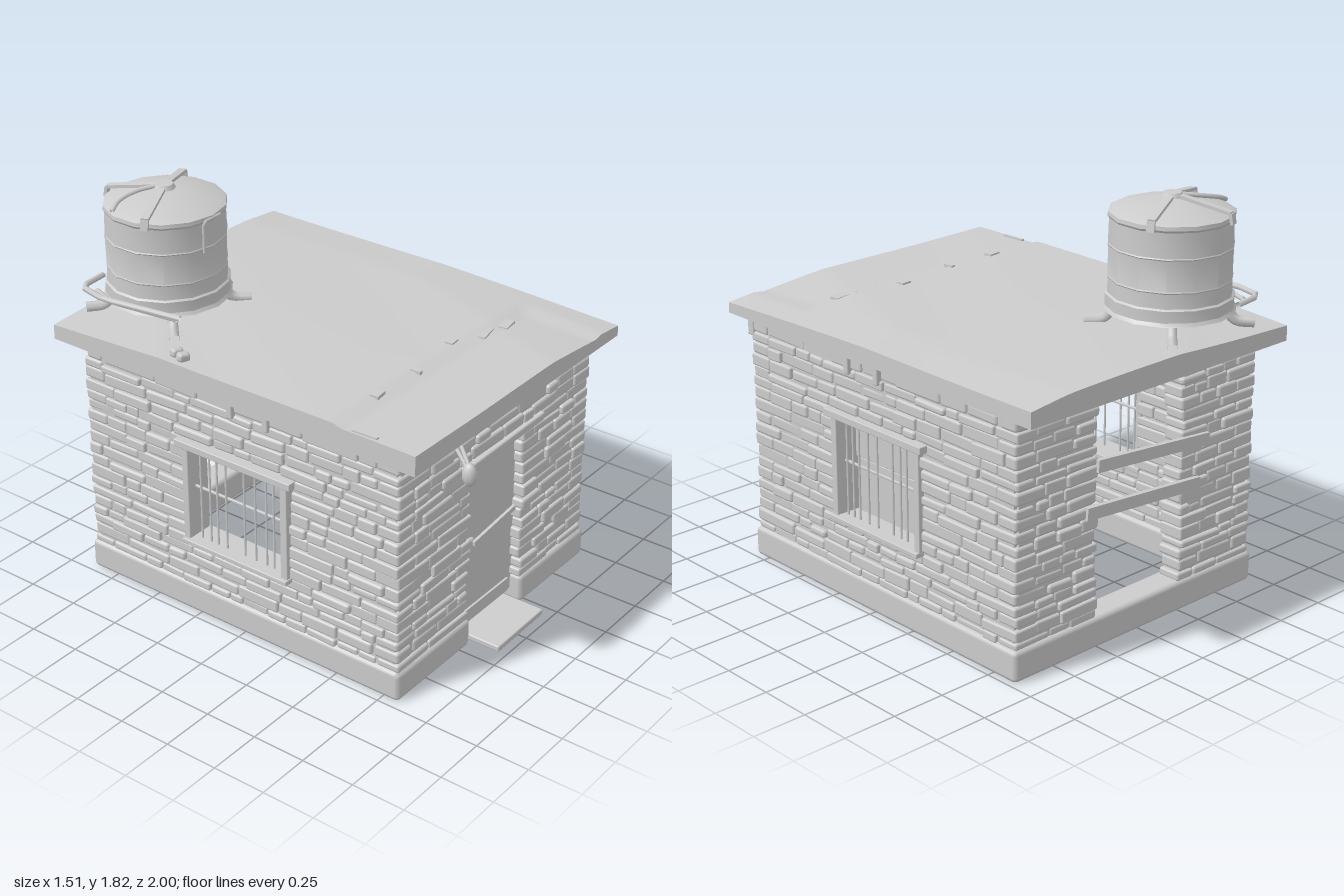
import * as THREE from 'three';
import { mergeGeometries, toCreasedNormals } from 'three/addons/utils/BufferGeometryUtils.js';
import { RoundedBoxGeometry } from 'three/addons/geometries/RoundedBoxGeometry.js';

const grey = new THREE.MeshStandardMaterial({ color: 0xcccccc, side: THREE.DoubleSide });
let seed = 7;
const rnd = (a = 0, b = 1) => {
  seed = (seed * 16807) % 2147483647;
  return a + (b - a) * (seed / 2147483647);
};
const V = (p) => new THREE.Vector3(...p);

function add(parent, name, geo, pos = [0, 0, 0], rot = [0, 0, 0]) {
  const m = new THREE.Mesh(geo, grey);
  m.name = name;
  m.position.set(...pos);
  m.rotation.set(...rot);
  parent.add(m);
  return m;
}
// Box given by its lower and upper corners, with softened edges when r > 0
function block(parent, name, a, b, r = 0, rot) {
  const s = a.map((v, i) => b[i] - v);
  const geo = r ? new RoundedBoxGeometry(...s, 1, r) : new THREE.BoxGeometry(...s);
  return add(parent, name, geo, a.map((v, i) => (v + b[i]) / 2), rot);
}
// Straight or bent pipe through points
function pipe(parent, name, pts, r, sides = 6, smooth = false) {
  const path = new THREE.CurvePath();
  if (!smooth) for (let i = 1; i < pts.length; i++) path.add(new THREE.LineCurve3(V(pts[i - 1]), V(pts[i])));
  const curve = smooth ? new THREE.CatmullRomCurve3(pts.map(V)) : path;
  return add(parent, name, new THREE.TubeGeometry(curve, smooth ? 12 : (pts.length - 1) * 4, r, sides));
}
// Flat bar between two points, w wide and h high
function beam(parent, name, p, q, w, h) {
  const a = V(p), b = V(q);
  const m = add(parent, name, new THREE.BoxGeometry(w, h, a.distanceTo(b)));
  m.position.copy(a).lerp(b, 0.5);
  m.quaternion.setFromRotationMatrix(new THREE.Matrix4().lookAt(b, a, new THREE.Vector3(0, 1, 0)));
  return m;
}

// Course heights shared by all four walls, so the corners interlock
const courses = [];
for (let y = 0.135; y < 1.07;) {
  let h = rnd(0.04, 0.064);
  if (y + h > 1.04) h = 1.08 - y;
  courses.push([y, y + h]);
  y += h;
}
courses.push([1.08, 1.15]);

// Wall along local x from u0 to u1 with one opening; odd courses stop short of the corners
function wall(parent, name, u0, u1, hole, parity, T = 0.115) {
  const g = new THREE.Group();
  g.name = name;
  parent.add(g);
  const [h0, h1, y0, y1] = hole;
  // mortar core around the opening
  const d = 0.045, i = 0.025;
  block(g, 'mortar', [u0 + i, 0.1, -d], [h0 - 0.015, 1.16, d]);
  block(g, 'mortar', [h1 + 0.015, 0.1, -d], [u1 - i, 1.16, d]);
  block(g, 'mortar', [h0 - 0.015, y1 + 0.01, -d], [h1 + 0.015, 1.16, d]);
  if (y0 > 0.15) block(g, 'mortar', [h0 - 0.015, 0.1, -d], [h1 + 0.015, y0 - 0.01, d]);
  // stones of uneven length, height and tilt
  const stones = [];
  courses.forEach(([a, b], row) => {
    const top = row === courses.length - 1;
    const inset = row % 2 === parity ? 0 : T;
    const mid = (a + b) / 2;
    const edge = () => rnd(-0.012, 0.008);
    const runs = mid > y0 && mid < y1
      ? [[u0 + inset, h0 - edge()], [h1 + edge(), u1 - inset]]
      : [[u0 + inset, u1 - inset]];
    for (const [s, e] of runs) {
      let u = s;
      while (u < e - 0.01) {
        let w = top ? rnd(0.15, 0.3) : rnd(0.07, 0.24);
        if (e - u - w < 0.07) w = e - u;
        const h = (b - a) * (rnd() < 0.3 ? rnd(0.72, 0.9) : rnd(0.92, 1.02));
        const depth = T + (top ? rnd(-0.03, 0.01) : rnd(-0.015, 0.012));
        const geo = new RoundedBoxGeometry(w - rnd(0.001, 0.006), h, depth, 1, rnd(0.007, 0.014));
        geo.rotateZ(rnd(-0.025, 0.025));
        geo.rotateY(rnd(-0.02, 0.02));
        geo.translate(u + w / 2, mid - (b - a - h) / 2, rnd(-0.004, 0.004));
        stones.push(geo);
        u += w;
      }
    }
  });
  add(g, 'stones', mergeGeometries(stones));
  return g;
}

// Barred window on a side wall; s is the side sign
function barredWindow(parent, s) {
  const g = new THREE.Group();
  g.name = s > 0 ? 'leftWindow' : 'rightWindow';
  parent.add(g);
  const bar = (n, x0, x1, y0, y1, z0, z1) =>
    block(g, n, [Math.min(s * x0, s * x1), y0, z0], [Math.max(s * x0, s * x1), y1, z1], 0.004);
  bar('windowLintel', 0.59, 0.747, 0.84, 0.874, -0.34, 0.29);
  bar('windowSill', 0.59, 0.747, 0.365, 0.388, -0.31, 0.265);
  bar('windowJamb', 0.6, 0.73, 0.385, 0.845, -0.31, -0.278);
  bar('windowJamb', 0.6, 0.73, 0.385, 0.845, 0.225, 0.26);
  bar('crossBar', 0.672, 0.684, 0.625, 0.638, -0.29, 0.24);
  for (const z of [-0.24, -0.19, -0.15, -0.1, 0, 0.06, 0.12, 0.16, 0.2])
    pipe(g, 'windowBar', [[s * 0.69, 0.38, z], [s * 0.69, 0.85, z]], 0.005);
  if (s > 0) {
    bar('shutterBoard', 0.6, 0.62, 0.385, 0.635, -0.258, 0.205);
    bar('shutterBoard', 0.6, 0.62, 0.635, 0.845, -0.29, 0.24);
  }
}

// Height of the worn roof: a tilted sheet with a ragged step near the front and sagging corners
function roofTop(x, z) {
  let y = 1.25 - 0.014 * Math.max(0, x + 0.1) - 0.003 * Math.sin(5 * x + 3 * z);
  if (z > 0.55 + 0.014 * Math.sin(17 * x) && x < 0.6) y -= 0.013;
  y -= 0.08 * Math.max(0, x - 0.55 + 0.35 * Math.max(0, z));
  y -= 0.06 * Math.max(0, -z - 0.4 - 0.9 * (x + 0.75));
  return y;
}

function waterTank(parent) {
  const g = new THREE.Group();
  g.name = 'waterTank';
  g.position.set(-0.345, 0, -0.695);
  parent.add(g);
  const profile = [[0, 1.32], [0.285, 1.32], [0.275, 1.335], [0.275, 1.385], [0.266, 1.392], [0.264, 1.455], [0.267, 1.46],
    [0.264, 1.466], [0.266, 1.597], [0.269, 1.602], [0.266, 1.607], [0.263, 1.715], [0.27, 1.725], [0.268, 1.742],
    [0.24, 1.755], [0, 1.808]];
  const body = new THREE.LatheGeometry(profile.map((p) => new THREE.Vector2(...p)), 14);
  add(g, 'tankBody', toCreasedNormals(body, 0.5));
  for (let k = 0; k < 4; k++) {
    const a = Math.PI / 4 + (k * Math.PI) / 2, c = Math.cos(a), s = Math.sin(a);
    pipe(g, 'tankLeg', [[0.21, 1.36], [0.24, 1.31], [0.28, 1.265], [0.36, 1.255]].map(([r, y]) => [c * r, y, s * r]), 0.024, 6, true);
  }
  // lid straps meeting at a hub and folding over the rim
  for (const [x, z] of [[-0.25, 0.11], [0.25, -0.115], [-0.075, -0.26]]) {
    beam(g, 'lidStrap', [0, 1.812, 0], [x, 1.765, z], 0.034, 0.014);
    beam(g, 'strapEnd', [x, 1.765, z], [x * 1.03, 1.72, z * 1.03], 0.034, 0.014);
  }
  pipe(g, 'lidHose', [[-0.02, 1.81, -0.02], [-0.1, 1.798, -0.07], [-0.19, 1.778, -0.09], [-0.25, 1.755, -0.075]], 0.01, 6, true);
  add(g, 'lidHub', new THREE.CylinderGeometry(0.04, 0.05, 0.02, 8), [0, 1.809, 0]);
  pipe(g, 'overflowPipe', [[0.05, 1.73, 0.265], [-0.06, 1.73, 0.268], [-0.06, 1.59, 0.268]], 0.007);
  // supply pipe running round the outer side
  pipe(g, 'supplyPipe', [[-0.13, 1.36, -0.265], [-0.28, 1.365, -0.25], [-0.315, 1.365, -0.1], [-0.25, 1.36, 0.285]], 0.014);
  pipe(g, 'supplyPipe', [[-0.24, 1.345, -0.2], [-0.285, 1.345, -0.08], [-0.23, 1.335, 0.25]], 0.012);
}

export function createModel() {
  const model = new THREE.Group();
  model.name = 'stoneHut';

  // plinth ring with a gap for the door
  block(model, 'plinthFront', [-0.715, 0, 0.69], [-0.185, 0.135, 0.83], 0.02);
  block(model, 'plinthFront', [0.21, 0, 0.69], [0.73, 0.135, 0.83], 0.02);
  block(model, 'plinthBack', [-0.715, 0, -0.89], [0.73, 0.14, -0.75], 0.02);
  for (const x of [-0.715, 0.59]) block(model, 'plinthSide', [x, 0, -0.885], [x + 0.14, 0.14, 0.825], 0.02);

  // stone walls
  wall(model, 'frontWall', -0.705, 0.715, [-0.19, 0.205, 0, 0.9], 0).position.z = 0.762;
  wall(model, 'backWall', -0.705, 0.715, [-0.25, 0.26, 0.1, 1.08], 0).position.z = -0.822;
  for (const s of [-1, 1]) {
    const w = wall(model, 'sideWall', -0.88, 0.82, [-0.3, 0.255, 0.39, 0.84], 1);
    w.position.x = s > 0 ? 0.66 : -0.65;
    w.rotation.y = -Math.PI / 2;
    barredWindow(model, s);
  }

  // door, latch and step
  block(model, 'door', [-0.205, 0.06, 0.735], [0.22, 0.89, 0.77]);
  block(model, 'doorKickPlate', [-0.165, 0.065, 0.765], [0.18, 0.13, 0.78]);
  block(model, 'doorLintel', [-0.27, 0.888, 0.71], [0.325, 0.925, 0.842], 0.008, [0, 0, 0.02]);
  block(model, 'latchPlate', [-0.15, 0.42, 0.765], [-0.108, 0.495, 0.79], 0.015);
  beam(model, 'latchBar', [-0.13, 0.472, 0.795], [0.18, 0.505, 0.795], 0.014, 0.022);
  block(model, 'doorStep', [-0.165, 0.006, 0.74], [0.185, 0.034, 0.965], 0.006, [0, 0, 0.02]);

  // planks nailed over the back opening
  beam(model, 'plank', [0.27, 0.825, -0.885], [-0.4, 0.765, -0.885], 0.022, 0.055);
  beam(model, 'plank', [0.33, 0.63, -0.885], [-0.35, 0.575, -0.885], 0.022, 0.055);

  // worn roof slab
  const slab = new THREE.BoxGeometry(1.51, 0.1, 1.925, 32, 1, 48);
  slab.translate(0, 1.2, -0.0375);
  const p = slab.attributes.position;
  for (let i = 0; i < p.count; i++) p.setY(i, p.getY(i) > 1.2 ? roofTop(p.getX(i), p.getZ(i)) : 1.147);
  add(model, 'roofSlab', toCreasedNormals(slab, 0.6));
  for (const [x, z, w, l] of [[-0.46, 0.525, 0.06, 0.04], [-0.2, 0.53, 0.02, 0.05], [0.11, 0.49, 0.05, 0.04],
    [0.28, 0.55, 0.1, 0.035], [0.41, 0.57, 0.08, 0.045], [-0.737, 0.67, 0.015, 0.12]])
    add(model, 'roofChip', new THREE.BoxGeometry(w, 0.016, l), [x, roofTop(x, z), z], [0, w * 2, 0]);
  for (const [x, z] of [[-0.69, -0.35], [-0.705, -0.3]])
    add(model, 'pebble', new RoundedBoxGeometry(0.055, 0.04, 0.045, 1, 0.014), [x, 1.262, z], [0, x * 5, 0.1]);

  // beam ends and a tilted board under the eaves
  for (const x of [-0.1, 0.69]) block(model, 'beamEnd', [x, 1.06, 0.8], [x + 0.03, 1.15, 0.84], 0.006);
  for (const z of [-0.06, 0.13]) for (const x of [-0.725, 0.705])
    block(model, 'beamEnd', [x, 1.06, z], [x + 0.03, 1.15, z + 0.03], 0.006);
  block(model, 'eavesBoard', [0, 1.085, 0.8], [0.35, 1.14, 0.83], 0.006, [0.5, 0, 0.03]);

  // lamp on a bracket beside the door
  const lamp = new THREE.Group();
  lamp.name = 'wallLamp';
  model.add(lamp);
  add(lamp, 'lampHead', new THREE.SphereGeometry(1, 10, 7), [-0.435, 1.022, 0.965]).scale.set(0.03, 0.053, 0.033);
  for (const [dy, end] of [[-0.022, -0.28], [0.018, -0.27], [0.0, -0.3]])
    pipe(lamp, 'lampArm', [[-0.42, 1.022 + dy, 0.955], [end, 1.048 + dy, 0.79]], 0.009);

  waterTank(model);
  return model;
}
